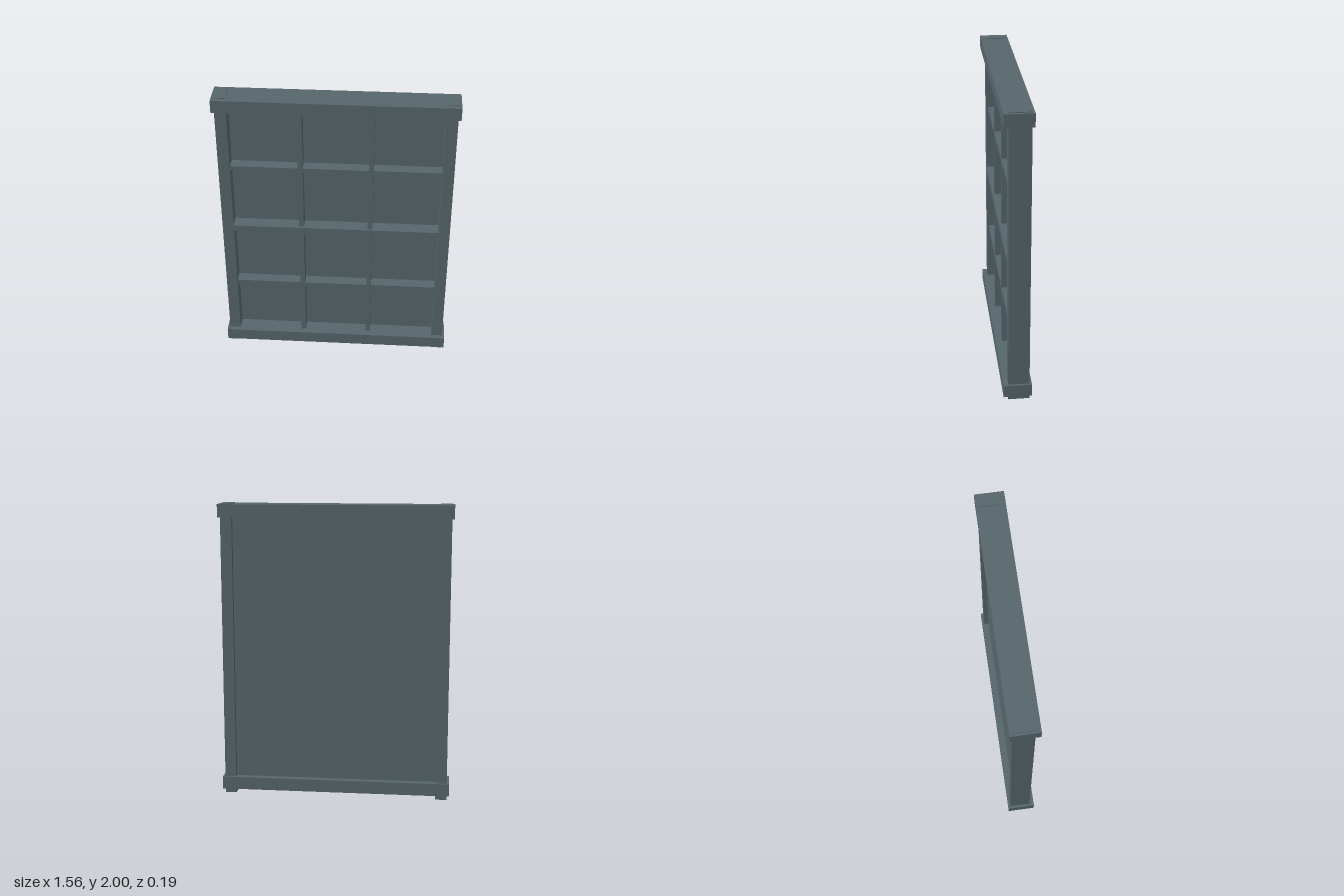
import * as THREE from 'three';

export function createModel() {
  const model = new THREE.Group();
  model.name = 'framedPanel';
  const slate = new THREE.MeshStandardMaterial({ color: 0x56666c });
  slate.name = 'slateGrey';

  // Box given by its limits on each axis
  function block(name, [x0, x1], [y0, y1], [z0, z1]) {
    const mesh = new THREE.Mesh(new THREE.BoxGeometry(x1 - x0, y1 - y0, z1 - z0), slate);
    mesh.position.set((x0 + x1) / 2, (y0 + y1) / 2, (z0 + z1) / 2);
    mesh.name = name;
    model.add(mesh);
  }

  // Side posts, poking slightly through the rails at top and bottom
  block('leftPost', [0.69, 0.766], [0, 2], [-0.078, 0.062]);
  block('rightPost', [-0.766, -0.69], [0, 2], [-0.078, 0.062]);

  // Wide top and bottom rails
  block('topRail', [-0.782, 0.782], [1.909, 1.995], [-0.093, 0.093]);
  block('bottomRail', [-0.782, 0.782], [0.03, 0.116], [-0.093, 0.093]);

  // Thin backing panel, recessed at the back
  block('backPanel', [-0.7, 0.7], [0.1, 1.92], [-0.046, -0.026]);

  // Upright glazing bars
  for (const x of [-0.231, 0.231]) {
    block('uprightBar', [x - 0.016, x + 0.016], [0.1, 1.92], [-0.03, 0.05]);
  }

  // Cross bars, with a heavier one in the middle
  for (const y of [0.529, 1.476]) {
    block('crossBar', [-0.7, 0.7], [y - 0.016, y + 0.016], [-0.03, 0.05]);
  }
  block('middleBar', [-0.7, 0.7], [0.98, 1.027], [-0.03, 0.065]);

  return model;
}
